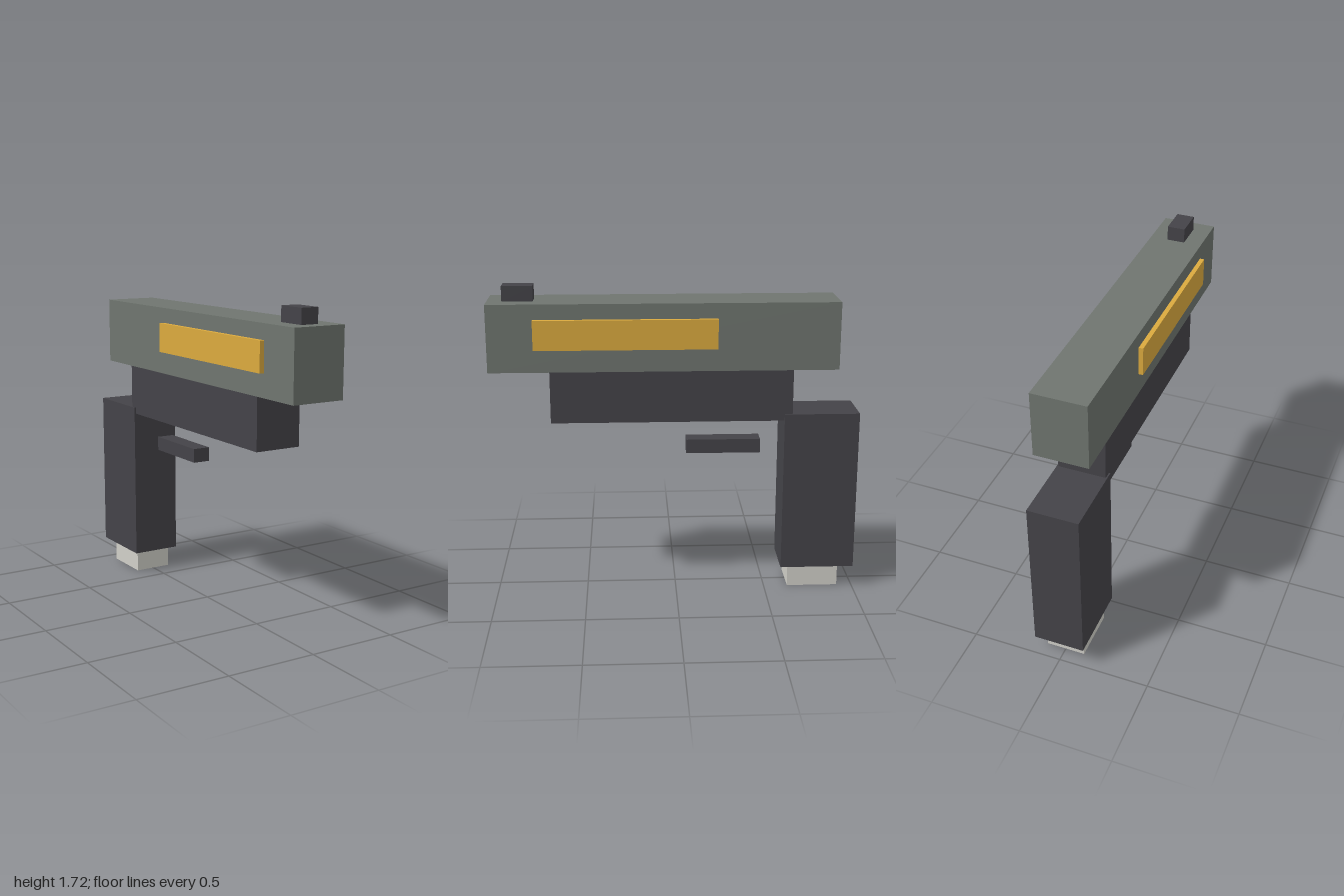
import * as THREE from 'three';

const material = (color) => new THREE.MeshStandardMaterial({ color });

export function createModel() {
  const model = new THREE.Group();
  const steel = material(0x6f756f);
  const dark = material(0x444348);
  const amber = material(0xdbaa3e);
  const pale = material(0xd0cfc8);

  // Box given by its [min, max] extent on each axis
  function addBox(name, mat, [x0, x1], [y0, y1], [z0, z1]) {
    const mesh = new THREE.Mesh(new THREE.BoxGeometry(x1 - x0, y1 - y0, z1 - z0), mat);
    mesh.position.set((x0 + x1) / 2, (y0 + y1) / 2, (z0 + z1) / 2);
    mesh.name = name;
    model.add(mesh);
  }
  const centred = (half) => [-half, half];

  // Upper body with the front sight on top
  addBox('slide', steel, centred(0.147), [1.27, 1.635], [-0.875, 1]);
  addBox('frontSight', dark, centred(0.049), [1.635, 1.716], [0.755, 0.92]);

  // Coloured strip on each side of the slide
  addBox('leftSidePanel', amber, [0.147, 0.172], [1.393, 1.553], [-0.222, 0.755]);
  addBox('rightSidePanel', amber, [-0.172, -0.147], [1.393, 1.553], [-0.222, 0.755]);

  // Lower body, trigger bar, grip and its foot
  addBox('frame', dark, centred(0.13), [0.985, 1.27], [-0.633, 0.675]);
  addBox('triggerBar', dark, centred(0.049), [0.78, 0.858], [-0.468, -0.06]);
  addBox('grip', dark, centred(0.138), [0.125, 1.021], [-1, -0.59]);
  addBox('gripFoot', pale, centred(0.107), [0, 0.125], [-0.917, -0.633]);

  return model;
}
